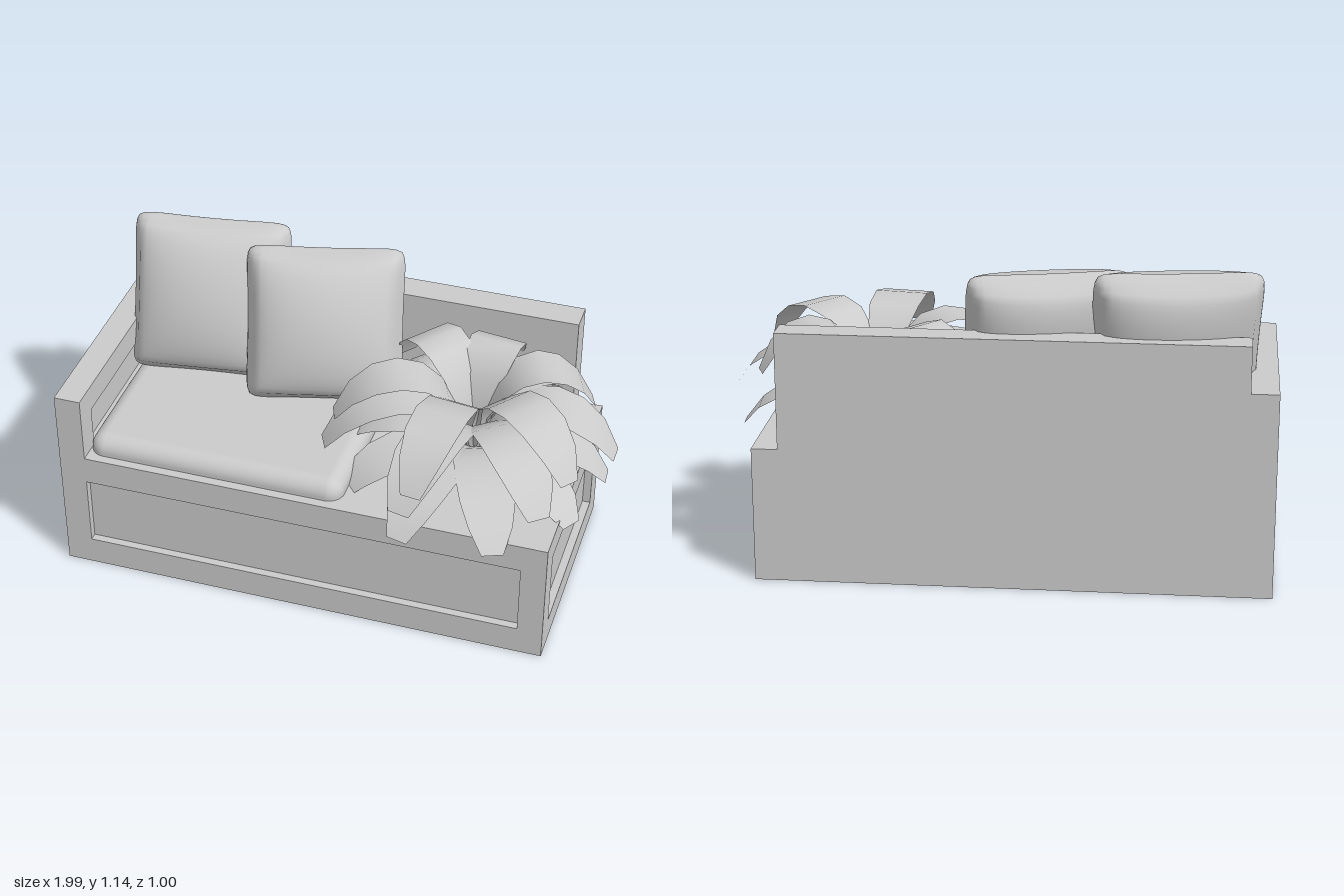
import * as THREE from 'three';
import { mergeVertices } from 'three/addons/utils/BufferGeometryUtils.js';
import { RoundedBoxGeometry } from 'three/addons/geometries/RoundedBoxGeometry.js';

const grey = new THREE.MeshStandardMaterial({ color: 0xcccccc });
const leafMaterial = new THREE.MeshStandardMaterial({ color: 0xcccccc, side: THREE.DoubleSide });

function mesh(name, geometry, parent, material = grey) {
  const m = new THREE.Mesh(geometry, material);
  m.name = name;
  parent.add(m);
  return m;
}

// Box given by its limits on each axis
function box(name, parent, [x0, x1], [y0, y1], [z0, z1]) {
  const m = mesh(name, new THREE.BoxGeometry(x1 - x0, y1 - y0, z1 - z0), parent);
  m.position.set((x0 + x1) / 2, (y0 + y1) / 2, (z0 + z1) / 2);
}

// Flat frame around a rectangular opening; limits are [left, right, bottom, top]
function frame(name, parent, [l, r, b, t], [hl, hr, hb, ht], depth = 0.03) {
  const rect = (C, x0, x1, y0, y1) => new C([[x0, y0], [x1, y0], [x1, y1], [x0, y1]].map(p => new THREE.Vector2(...p)));
  const shape = rect(THREE.Shape, l, r, b, t);
  shape.holes.push(rect(THREE.Path, hl, hr, hb, ht));
  return mesh(name, new THREE.ExtrudeGeometry(shape, { depth, bevelEnabled: false }), parent);
}

// Stuffed square pillow: a box bulged in the middle, with soft corners
function pillow(name, parent, w, h, bulge, position, yaw, tilt) {
  let g = new THREE.BoxGeometry(2, 2, 2, 20, 20, 4);
  g.deleteAttribute('uv');
  g.deleteAttribute('normal');
  g = mergeVertices(g);
  const p = g.attributes.position;
  for (let i = 0; i < p.count; i++) {
    const u = p.getX(i), v = p.getY(i), s = p.getZ(i);
    const swell = Math.pow(Math.max(0, (1 - u * u) * (1 - v * v)), 0.5);
    const x = u * (1 - 0.03 * (1 - v * v)) * (1 - 0.05 * s * s * u ** 8);
    const y = v * (1 - 0.03 * (1 - u * u)) * (1 - 0.05 * s * s * v ** 8);
    // rounded corners in outline
    const corner = 1 - 0.06 * (u * v) ** 8;
    p.setXYZ(i, x * corner * w / 2, y * corner * h / 2, s * (0.03 + (bulge - 0.03) * swell));
  }
  g.computeVertexNormals();
  const m = mesh(name, g, parent);
  m.position.set(...position);
  m.rotation.set(-tilt, yaw, 0, 'YXZ');
}

// Arching leaf blade running outwards along +x with a blunt tip
function leafGeometry(reach, height, tipY, width) {
  const curve = new THREE.CubicBezierCurve(
    new THREE.Vector2(0.02, 0.5), new THREE.Vector2(0.03, height),
    new THREE.Vector2(reach * 0.78, height), new THREE.Vector2(reach, tipY));
  const widths = [0.15, 0.45, 0.75, 0.95, 1, 0.95, 0.75, 0.38];
  const positions = [], index = [];
  widths.forEach((k, i) => {
    const p = curve.getPoint(i / (widths.length - 1));
    const half = k * width / 2;
    positions.push(p.x, p.y, half, p.x, p.y, -half);
    if (i) {
      const a = 2 * i - 2;
      index.push(a, a + 2, a + 1, a + 1, a + 2, a + 3);
    }
  });
  const g = new THREE.BufferGeometry();
  g.setAttribute('position', new THREE.Float32BufferAttribute(positions, 3));
  g.setIndex(index);
  g.computeVertexNormals();
  return g;
}

export function createModel() {
  const model = new THREE.Group();
  model.name = 'daybed';

  // Base with recessed panels on the front and both ends
  const base = new THREE.Group();
  base.name = 'base';
  model.add(base);
  box('baseCore', base, [-0.97, 0.83], [0, 0.5], [-0.51, 0.355]);
  frame('frontFrame', base, [-1, 0.86, 0, 0.5], [-0.9, 0.765, 0.11, 0.39]).position.z = 0.355;
  const end = frame('plantEndFrame', base, [-0.355, 0.51, 0, 0.5], [-0.29, 0.41, 0.1, 0.4]);
  end.rotation.y = Math.PI / 2;
  end.position.x = 0.83;

  // Arm, panelled on its outer and inner faces
  const arm = new THREE.Group();
  arm.name = 'arm';
  model.add(arm);
  const outer = frame('armOuterFrame', arm, [-0.355, 0.51, 0, 0.76], [-0.29, 0.41, 0.1, 0.66]);
  outer.rotation.y = Math.PI / 2;
  outer.position.x = -1;
  box('armPanel', arm, [-0.97, -0.93], [0.5, 0.76], [-0.51, 0.355]);
  box('armFrontPost', arm, [-1, -0.9], [0.5, 0.76], [0.355, 0.385]);
  box('armInnerFrontPost', arm, [-0.93, -0.9], [0.5, 0.66], [0.29, 0.355]);
  box('armInnerBackPost', arm, [-0.93, -0.9], [0.5, 0.66], [-0.51, -0.4]);
  box('armInnerRail', arm, [-0.93, -0.9], [0.66, 0.76], [-0.51, 0.355]);

  // Backrest
  box('backrest', model, [-0.9, 0.765], [0.5, 0.93], [-0.51, -0.4]);

  // Seat cushion, sunk slightly into the base
  const seat = mesh('seatCushion', new RoundedBoxGeometry(0.98, 0.14, 0.75, 5, 0.06), model);
  seat.position.set(-0.41, 0.503, -0.025);

  // Leaning pillows
  pillow('leftPillow', model, 0.61, 0.62, 0.155, [-0.63, 0.855, -0.28], 0.14, 0.32);
  pillow('rightPillow', model, 0.6, 0.6, 0.155, [-0.165, 0.845, -0.245], 0.25, 0.34);

  // Plant: three tiers of arching leaves, shorter towards the backrest
  const plant = new THREE.Group();
  plant.name = 'plant';
  plant.position.set(0.46, 0, -0.09);
  model.add(plant);
  const tiers = [
    { count: 6, start: 38, reach: 0.51, height: 0.97, tip: 0.71, width: 0.2 },
    { count: 7, start: 0, reach: 0.52, height: 0.85, tip: 0.61, width: 0.22 },
    { count: 10, start: -4, reach: 0.5, height: 0.66, tip: 0.475, width: 0.21 },
  ];
  tiers.forEach(({ count, start, reach, height, tip, width }, t) => {
    for (let i = 0; i < count; i++) {
      const a = THREE.MathUtils.degToRad(start + i * 360 / count);
      const toFront = Math.sin(a);
      const r = reach * (toFront > 0 ? 1 + 0.12 * toFront : 1 + 0.32 * toFront);
      const wobble = 0.015 * Math.sin(i * 2.4 + t);
      const leaf = mesh('leaf', leafGeometry(r + wobble, height + wobble, tip, width), plant, leafMaterial);
      leaf.rotation.y = -a;
    }
  });
  return model;
}
